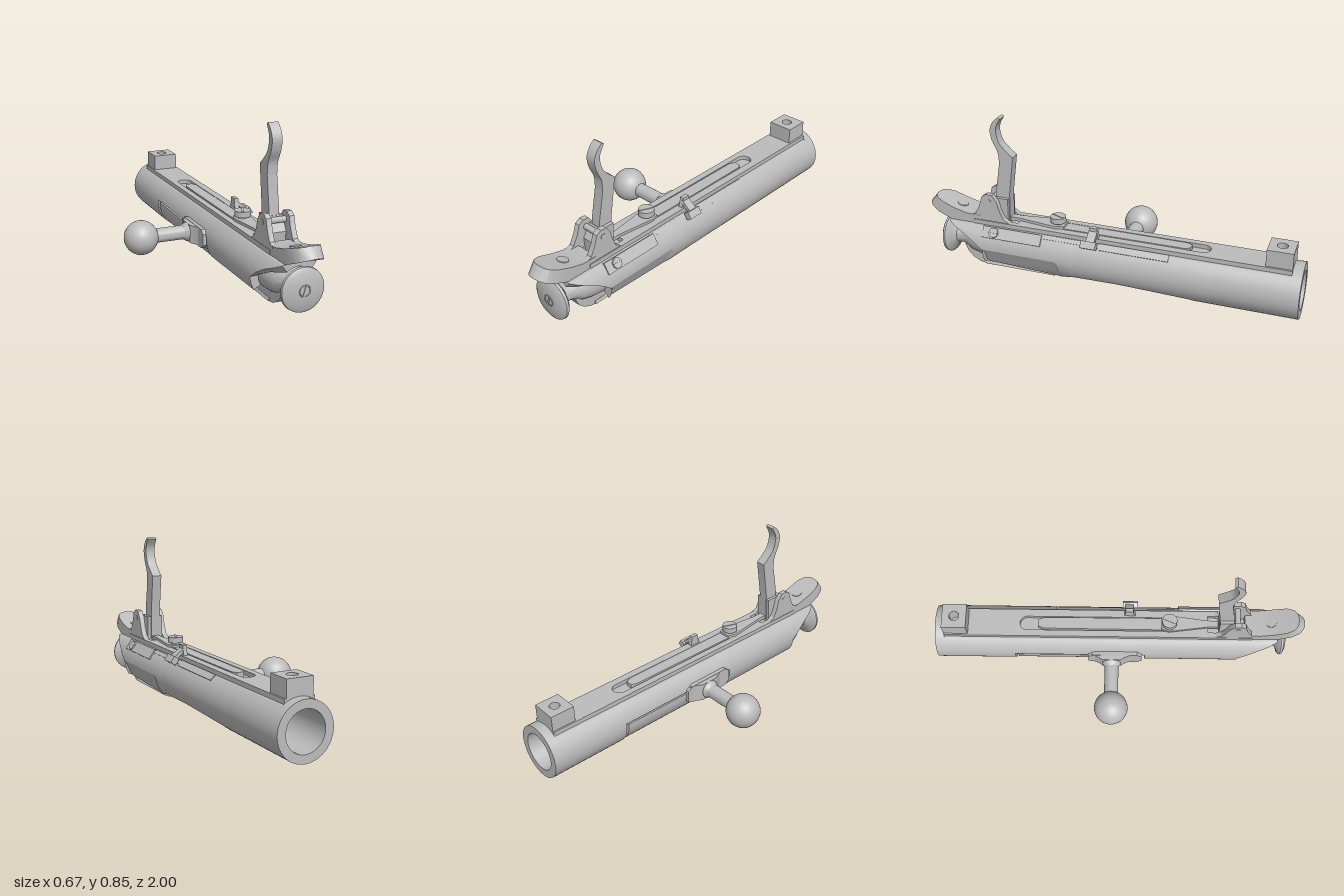
import * as THREE from 'three';
import { toCreasedNormals } from 'three/addons/utils/BufferGeometryUtils.js';

const CX = 0.19, CY = 0.148, R = 0.142, RI = 0.1;
const FLAT = 0.264; // height at which the tube is planed off under the top rail

export function createModel() {
  const root = new THREE.Group();
  const steel = new THREE.MeshStandardMaterial({ color: 0xbcbcbc });
  steel.name = 'steel';

  const add = (name, geo, pos = [0, 0, 0], rot = [0, 0, 0]) => {
    const m = new THREE.Mesh(toCreasedNormals(geo, 0.5), steel);
    m.name = name;
    m.position.set(...pos);
    m.rotation.set(...rot);
    root.add(m);
  };
  const box = (name, size, pos, rot) => add(name, new THREE.BoxGeometry(...size), pos, rot);
  const shape = (pts) => new THREE.Shape(pts.map((p) => new THREE.Vector2(...p)));
  // outline in (z, y), thickness from x0 to x1
  const side = (name, sh, x0, x1) => {
    const g = new THREE.ExtrudeGeometry(sh, { depth: x1 - x0, bevelEnabled: false });
    add(name, g.rotateY(-Math.PI / 2).translate(x1, 0, 0));
  };
  // outline in (x, z), thickness from y0 to y1
  const plan = (name, sh, y0, y1) => {
    const g = new THREE.ExtrudeGeometry(sh, { depth: y1 - y0, bevelEnabled: false });
    add(name, g.rotateX(Math.PI / 2).translate(0, y1, 0));
  };
  // skin over equal rings, each counter-clockwise seen from +z
  const loft = (rings) => {
    const m = rings[0].length, idx = [], last = (rings.length - 1) * m;
    for (let k = 0; k < rings.length - 1; k++)
      for (let i = 0; i < m; i++) {
        const a = k * m + i, b = k * m + ((i + 1) % m);
        idx.push(a, b, b + m, a, b + m, a + m);
      }
    for (let i = 0; i < m / 2 - 1; i++) {
      const j = m - 1 - i;
      idx.push(last + i, last + i + 1, last + j - 1, last + i, last + j - 1, last + j);
      idx.push(i, j - 1, i + 1, i, j, j - 1);
    }
    const g = new THREE.BufferGeometry();
    g.setAttribute('position', new THREE.Float32BufferAttribute(rings.flat(2), 3));
    g.setIndex(idx);
    return g;
  };
  // tube wall section: angles from the top, running from aR down to aL
  const wallRing = (z, angles, rOut, rIn) => {
    const at = (r) => angles.map((t) => [CX + r * Math.sin(t), CY + r * Math.cos(t), z]);
    return [...at(rOut), ...at(rIn).reverse()];
  };
  const spread = (a, b, n) => Array.from({ length: n + 1 }, (_, i) => a + ((b - a) * i) / n);

  // Receiver sections: z, lower edge height on the -x wall, on the +x wall
  const sections = {
    receiverFront: [[-1, 0, 0], [-0.95, 0, 0], [-0.949, 0, 0], [-0.57, 0, 0]],
    receiverPort: [
      [-0.57, 0.17, 0], [-0.5, 0.17, 0.01], [-0.48, 0.17, 0.03], [-0.45, 0.17, 0.045],
      [-0.3, 0.17, 0.057], [-0.1, 0.17, 0.068], [0.14, 0.17, 0.063],
    ],
    receiverRear: [[0.14, 0.06, 0.063], [0.22, 0.06, 0.042], [0.24, 0.06, 0.042], [0.64, 0.07, 0.065], [0.65, 0.07, 0.07]],
    receiverTail: [[0.65, 0.14, 0.14], [0.7, 0.18, 0.18], [0.76, 0.215, 0.215], [0.82, 0.24, 0.24], [0.86, 0.26, 0.26]],
  };
  const angle = (y) => Math.acos(Math.max(-1, Math.min(1, (y - CY) / R)));
  const planed = ([x, y, z]) => {
    if (z > -0.95) y = Math.min(y, FLAT);
    if (z > 0.23 && z < 0.645 && y < 0.14) x = Math.min(x, 0.328 - (0.14 - y) * 0.47); // flat facet
    return [x, y, z];
  };
  const grid = spread(Math.PI, -Math.PI, 48);
  for (const [name, rows] of Object.entries(sections))
    add(name, loft(rows.map(([z, l, r]) => {
      const angles = grid.map((t) => Math.max(-angle(l), Math.min(angle(r), t)));
      return wallRing(z, angles, R, RI).map(planed);
    })));

  // Top rail with the spring slot and the trigger opening
  const rail = shape([[0.113, -0.95], [0.267, -0.95], [0.267, 0.72], [0.113, 0.72]]);
  const slot = new THREE.Path();
  slot.moveTo(0.148, 0.25);
  slot.lineTo(0.148, -0.5);
  slot.absarc(0.187, -0.5, 0.039, Math.PI, 2 * Math.PI, false);
  slot.lineTo(0.226, 0.25);
  slot.closePath();
  rail.holes.push(slot, shape([[0.143, 0.48], [0.143, 0.7], [0.237, 0.7], [0.237, 0.48]]));
  plan('topRail', rail, 0.24, 0.286);

  // Front lug with its screw hole
  const lug = shape([[0.121, -0.95], [0.257, -0.95], [0.257, -0.82], [0.121, -0.82]]);
  lug.holes.push(new THREE.Path().absarc(0.188, -0.885, 0.027, 0, Math.PI * 2, true));
  plan('frontLug', lug, 0.27, 0.372);

  // Tang: top z, top y, bottom z, bottom y, half width
  const tang = [
    [0.68, 0.31, 0.68, 0.24, 0.073], [0.76, 0.312, 0.78, 0.235, 0.074],
    [0.84, 0.333, 0.87, 0.268, 0.074], [0.9, 0.355, 0.93, 0.293, 0.071],
    [0.938, 0.367, 0.972, 0.312, 0.057], [0.955, 0.373, 0.992, 0.322, 0.036], [0.96, 0.376, 1, 0.328, 0.012],
  ].map(([zt, yt, zb, yb, w]) => [
    [CX + w, yb, zb], [CX + w, yt, zt], [CX, yt, zt],
    [CX - w, yt, zt], [CX - w, yb, zb], [CX, yb + w * 0.35, zb],
  ]);
  add('tang', loft(tang));
  add('tangScrew', new THREE.CylinderGeometry(0.029, 0.029, 0.012, 20), [CX, 0.326, 0.82], [-0.25, 0, 0]);

  // Trigger
  const hook = new THREE.Shape();
  hook.moveTo(0.535, 0.28);
  hook.lineTo(0.61, 0.28);
  hook.lineTo(0.607, 0.44);
  hook.lineTo(0.58, 0.6);
  hook.splineThru([[0.585, 0.66], [0.612, 0.72], [0.622, 0.775], [0.605, 0.82], [0.575, 0.85]]
    .map((p) => new THREE.Vector2(...p)));
  hook.lineTo(0.562, 0.842);
  hook.splineThru([[0.585, 0.8], [0.588, 0.76], [0.572, 0.71], [0.535, 0.67], [0.502, 0.642]]
    .map((p) => new THREE.Vector2(...p)));
  hook.lineTo(0.53, 0.44);
  side('trigger', hook, 0.162, 0.214);
  side('triggerBase', shape([[0.54, 0.24], [0.64, 0.24], [0.65, 0.34], [0.61, 0.41], [0.535, 0.41]]), 0.146, 0.232);

  // Trigger ears and cross pin
  const ear = shape([
    [0.52, 0.25], [0.74, 0.25], [0.74, 0.306], [0.71, 0.32], [0.685, 0.37], [0.67, 0.42],
    [0.645, 0.437], [0.61, 0.434], [0.585, 0.4], [0.57, 0.345], [0.55, 0.305], [0.52, 0.286],
  ]);
  for (const x of [0.115, 0.235]) side('triggerEar', ear, x, x + 0.027);
  add('triggerPin', new THREE.CylinderGeometry(0.015, 0.015, 0.151, 16), [0.1885, 0.395, 0.63], [0, 0, Math.PI / 2]);

  // Leaf spring and its slotted screw
  plan('leafSpringFront', shape([
    [0.157, -0.41], [0.17, -0.44], [0.207, -0.44], [0.22, -0.41], [0.222, 0.23], [0.155, 0.23],
  ]), 0.262, 0.288);
  plan('leafSpringRear', shape([
    [0.155, 0.23], [0.222, 0.23], [0.235, 0.27], [0.207, 0.48], [0.207, 0.56], [0.17, 0.56], [0.17, 0.48], [0.142, 0.27],
  ]), 0.28, 0.3);
  add('springScrew', new THREE.CylinderGeometry(0.041, 0.041, 0.03, 24), [0.188, 0.324, 0.272]);
  add('springScrewNeck', new THREE.CylinderGeometry(0.025, 0.025, 0.03, 16), [0.188, 0.3, 0.272]);
  box('springScrewSlot', [0.01, 0.006, 0.076], [0.188, 0.339, 0.272], [0, -0.4, 0]);

  // Bolt body, neck and mushroom knob
  const boltProfile = [
    [0, -0.5], [0.096, -0.5], [0.098, 0.64], [0.092, 0.7], [0.078, 0.76], [0.058, 0.79], [0.05, 0.82],
    [0.052, 0.85], [0.075, 0.87], [0.1, 0.878], [0.11, 0.888], [0.108, 0.9], [0.09, 0.911], [0.03, 0.917], [0, 0.917],
  ].map((p) => new THREE.Vector2(...p));
  add('bolt', new THREE.LatheGeometry(boltProfile, 36).rotateX(Math.PI / 2), [CX, CY, 0]);
  add('knobScrew', new THREE.TorusGeometry(0.027, 0.003, 6, 24), [CX, CY, 0.917]);
  box('knobScrewSlot', [0.009, 0.052, 0.006], [CX, CY, 0.917], [0, 0, -0.25]);

  // Lower cocking block and thin plate
  side('cockingBlock', shape([
    [0.3, 0.018], [0.66, 0.01], [0.71, 0.018], [0.75, 0.038], [0.78, 0.066], [0.8, 0.11], [0.3, 0.11],
  ]), 0.14, 0.24);
  const sleeveArc = spread(Math.PI + 0.42, Math.PI - 0.42, 10);
  add('cockingSleeve', loft([0.28, 0.68].map((z) => wallRing(z, sleeveArc, 0.144, 0.128))));

  // Bolt guide rib and handle on the -x side
  const ribArc = spread(-1.5, -2.4, 12);
  add('guideRib', loft([-0.555, 0.125].map((z) => wallRing(z, ribArc, 0.138, 0.09))));
  side('handleRoot', shape([
    [-0.17, 0.11], [-0.13, 0.097], [0.1, 0.097], [0.125, 0.12], [0.125, 0.18], [0.1, 0.2], [-0.13, 0.2], [-0.17, 0.18],
  ]), 0.036, 0.1);
  plan('handleFlare', shape([
    [0.045, -0.15], [0.045, 0.08], [0.025, 0.03], [0.012, 0.01], [0.012, -0.09], [0.025, -0.11],
  ]), 0.099, 0.198);
  const handleProfile = [
    [0, -0.06], [0.051, -0.03], [0.05, -0.005], [0.038, 0.014], [0.038, 0.19], [0, 0.2],
  ].map((p) => new THREE.Vector2(...p));
  add('handleShaft', new THREE.LatheGeometry(handleProfile, 24).rotateZ(Math.PI / 2), [0, CY, -0.04]);
  add('handleBall', new THREE.SphereGeometry(0.091, 28, 18), [-0.246, CY, -0.04]);

  // Bolt stop along the +x shoulder
  const tilt = [0, 0, -0.75];
  box('stopRail', [0.036, 0.016, 0.36], [0.283, 0.25, -0.17], tilt);
  box('stopSpring', [0.022, 0.014, 0.36], [0.28, 0.252, 0.17], tilt);
  box('stopHousing', [0.06, 0.036, 0.33], [0.29, 0.232, 0.49], [0, 0, -0.95]);
  add('stopScrew', new THREE.CylinderGeometry(0.026, 0.026, 0.012, 20), [0.306, 0.244, 0.59], [0, 0, -0.95]);
  box('stopScrewSlot', [0.006, 0.004, 0.046], [0.311, 0.248, 0.59], [0, 0, -0.95]);
  side('stopPost', shape([[0.02, 0.26], [0.1, 0.26], [0.08, 0.3], [0.075, 0.338], [0.035, 0.338], [0.03, 0.3]]), 0.236, 0.258);
  box('stopArm', [0.09, 0.018, 0.045], [0.279, 0.293, 0.055], [0, 0, -0.65]);
  box('stopThumbTab', [0.038, 0.032, 0.08], [0.31, 0.266, 0.06], [0, 0, -1]);

  return root;
}
